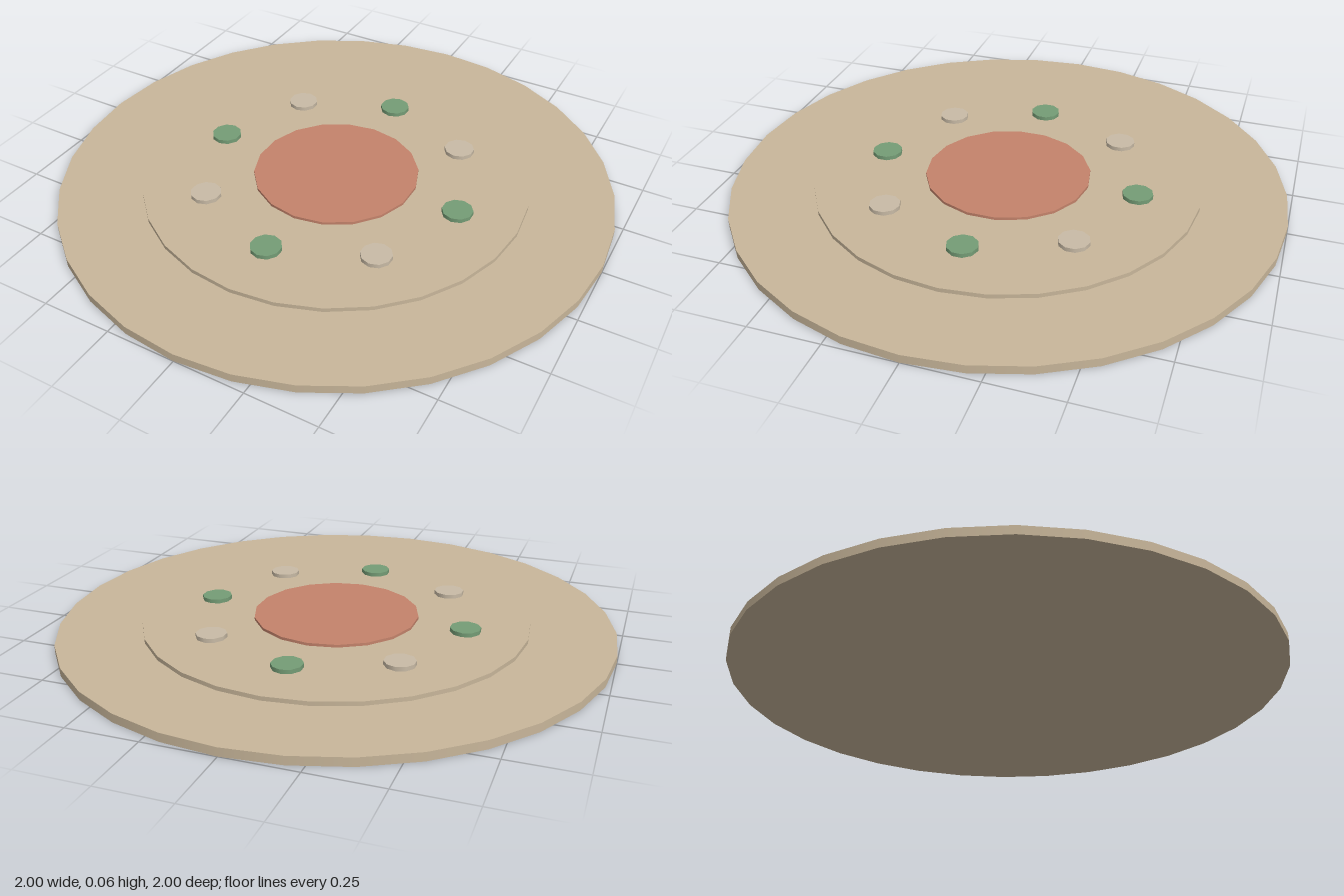
import * as THREE from 'three';

const material = (name, color) => {
  const m = new THREE.MeshStandardMaterial({ color });
  m.name = name;
  return m;
};

export function createModel() {
  const sand = material('sand', 0xc8b69a);
  const paleStone = material('pale stone', 0xc9bba6);
  const terracotta = material('terracotta', 0xc4836b);
  const green = material('sage green', 0x759d76);

  const group = new THREE.Group();
  group.name = 'plaza';

  // Flat disc standing between two heights
  const disc = (name, radius, bottom, top, sides, mat, x = 0, z = 0) => {
    const geo = new THREE.CylinderGeometry(radius, radius, top - bottom, sides);
    const mesh = new THREE.Mesh(geo, mat);
    mesh.name = name;
    mesh.position.set(x, (bottom + top) / 2, z);
    group.add(mesh);
  };

  // Stepped round base
  disc('basePlate', 1, 0, 0.03, 32, sand);
  disc('raisedTier', 0.7, 0.03, 0.045, 28, sand);
  disc('centerDisc', 0.3, 0.045, 0.055, 18, terracotta);

  // Ring of alternating studs
  for (let i = 0; i < 8; i++) {
    const a = (i * Math.PI) / 4;
    const even = i % 2 === 0;
    disc(even ? 'greenStud' : 'stoneStud', 0.055, 0.045, 0.06, 10,
      even ? green : paleStone, 0.48 * Math.cos(a), 0.48 * Math.sin(a));
  }
  return group;
}
